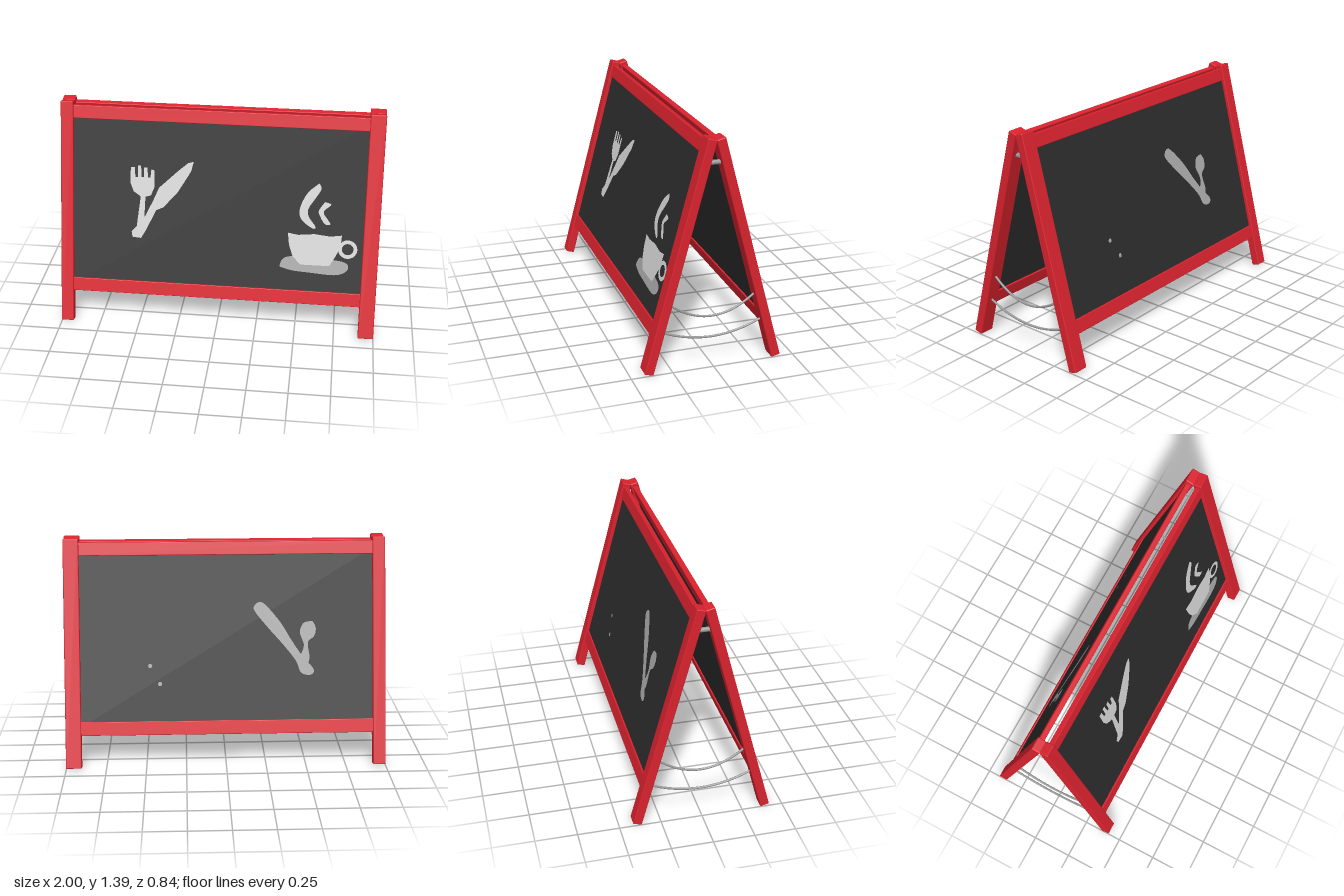
import * as THREE from 'three';
import { RoundedBoxGeometry } from 'three/addons/geometries/RoundedBoxGeometry.js';

const flat = (name, color) => {
  const m = new THREE.MeshStandardMaterial({ color });
  m.name = name;
  return m;
};

const TILT = 0.262, COS = Math.cos(TILT);
const FOOT_Y = 0.0072, FOOT_Z = 0.393, LEG = 1.426;
// height above ground -> distance along the tilted panel
const along = (y) => (y - FOOT_Y) / COS;

// Chalk drawings as outlines of [x, height]
const KNIFE = [[-.165, 1.05], [-.18, .99], [-.26, .86], [-.35, .76], [-.395, .74], [-.46, .61], [-.49, .56],
  [-.545, .565], [-.55, .6], [-.475, .68], [-.415, .8], [-.38, .88], [-.26, .99], [-.2, 1.04]];
const FORK = [[-.56, 1], [-.535, 1], [-.53, .94], [-.515, .94], [-.515, 1.01], [-.495, 1.01], [-.49, .94],
  [-.475, .94], [-.475, 1], [-.455, 1], [-.45, .94], [-.435, .94], [-.43, .99], [-.41, .985], [-.41, .88],
  [-.43, .83], [-.465, .82], [-.47, .7], [-.45, .66], [-.52, .62], [-.51, .7], [-.495, .82], [-.54, .85], [-.56, .9]];
const CUP = [[.435, .645], [.5, .635], [.6, .645], [.7, .635], [.77, .645], [.765, .57], [.73, .5], [.7, .45],
  [.52, .45], [.47, .5], [.445, .57]];
const STEAM_LARGE = [[.615, .957], [.545, .893], [.503, .8], [.513, .733], [.583, .68], [.604, .69], [.56, .75],
  [.556, .8], [.6, .87], [.63, .925]];
const STEAM_SMALL = [[.655, .845], [.695, .83], [.65, .785], [.68, .735], [.695, .71], [.66, .71], [.63, .755], [.62, .79]];
const SAUCER = [[.39, .43], [.41, .48], [.48, .5], [.72, .49], [.81, .47], [.81, .425], [.74, .395], [.58, .402], [.47, .41]];
const BACK_KNIFE = [[-.195, .99], [-.18, .95], [-.26, .85], [-.36, .74], [-.44, .64], [-.47, .57], [-.53, .555],
  [-.55, .59], [-.48, .67], [-.41, .77], [-.34, .88], [-.24, .99]];
const BACK_FORK = [[-.545, .88], [-.49, .87], [-.465, .82], [-.475, .78], [-.49, .73], [-.465, .65], [-.5, .6],
  [-.525, .66], [-.515, .75], [-.555, .79], [-.565, .84]];

export function createModel() {
  const red = flat('red paint', 0xd9222e);
  const slate = flat('blackboard', 0x2c2c2c);
  const chalk = flat('white chalk', 0xd6d6d6);
  const grey = flat('grey chalk', 0xa9a9a9);
  const steel = flat('steel', 0x999999);
  const model = new THREE.Group();
  model.name = 'sandwichBoard';

  const add = (parent, name, geometry, material) => {
    const mesh = new THREE.Mesh(geometry, material);
    mesh.name = name;
    parent.add(mesh);
    return mesh;
  };
  // Box given by its x range and range along the panel
  const bar = (parent, name, x0, x1, s0, s1, depth, material, radius) => {
    const geo = radius
      ? new RoundedBoxGeometry(x1 - x0, s1 - s0, depth, 2, radius)
      : new THREE.BoxGeometry(x1 - x0, s1 - s0, depth);
    add(parent, name, geo, material).position.set((x0 + x1) / 2, (s0 + s1) / 2, 0);
  };
  // Flat chalk drawing lying on the outer face of a panel
  const drawing = (parent, name, points, side, layer, material, smooth) => {
    const pts = points.map(([x, y]) => new THREE.Vector2(x * side, along(y)));
    let shape;
    if (smooth) {
      shape = new THREE.Shape();
      shape.moveTo(pts[0].x, pts[0].y);
      shape.splineThru([...pts.slice(1), pts[0]]);
    } else shape = new THREE.Shape(pts);
    const mesh = add(parent, name, new THREE.ShapeGeometry(shape, 4), material);
    mesh.position.z = side * (0.0075 + layer * 0.0012);
    if (side < 0) mesh.rotation.y = Math.PI;
  };

  // Two tilted panels: front (+1) and back (-1)
  const panels = [1, -1].map((side) => {
    const panel = new THREE.Group();
    panel.name = side > 0 ? 'frontPanel' : 'backPanel';
    panel.position.set(0, FOOT_Y, side * FOOT_Z);
    panel.rotation.x = -side * TILT;
    model.add(panel);
    bar(panel, 'rightLeg', -1, -0.921, 0, LEG, 0.055, red, 0.006);
    bar(panel, 'leftLeg', 0.903, 1, 0, LEG, 0.055, red, 0.006);
    bar(panel, 'topRail', -0.93, 0.91, along(1.283), along(1.362), 0.032, red, 0.004);
    bar(panel, 'bottomRail', -0.93, 0.91, along(0.203), along(0.286), 0.032, red, 0.004);
    bar(panel, 'board', -0.925, 0.908, along(0.25), along(1.32), 0.012, slate);
    return panel;
  });

  // Front drawings: cutlery, cup, saucer and steam
  const [front, back] = panels;
  drawing(front, 'fork', FORK, 1, 0, chalk);
  drawing(front, 'knife', KNIFE, 1, 1, chalk);
  drawing(front, 'saucer', SAUCER, 1, 0, grey, true);
  drawing(front, 'cup', CUP, 1, 1, chalk);
  drawing(front, 'largeSteam', STEAM_LARGE, 1, 0, chalk, true);
  drawing(front, 'smallSteam', STEAM_SMALL, 1, 0, chalk, true);
  const handle = add(front, 'cupHandle', new THREE.RingGeometry(0.036, 0.06, 20), chalk);
  handle.position.set(0.81, along(0.56), 0.0085);

  // Back drawings: worn cutlery and two chalk specks
  drawing(back, 'backFork', BACK_FORK, -1, 0, grey, true);
  drawing(back, 'backKnife', BACK_KNIFE, -1, 1, grey, true);
  for (const [x, y] of [[0.47, 0.62], [0.41, 0.51]]) {
    const speck = add(back, 'chalkSpeck', new THREE.CircleGeometry(0.014, 6), grey);
    speck.position.set(x, along(y), -0.0075);
    speck.rotation.y = Math.PI;
  }

  // Hinge pins and sagging wires between the legs, both ends
  for (const x of [-0.955, 0.955]) {
    const pin = add(model, 'hingePin', new THREE.CylinderGeometry(0.014, 0.014, 0.09, 16), steel);
    pin.rotation.x = Math.PI / 2;
    pin.position.set(x, 1.24, 0);
    for (const [z, top, low] of [[0.268, 0.42, 0.308], [0.312, 0.25, 0.176]]) {
      const points = [];
      for (let i = -4; i <= 4; i++) {
        const t = i / 4;
        points.push(new THREE.Vector3(x, low + (top - low) * t * t, z * t));
      }
      add(model, 'stayWire', new THREE.TubeGeometry(new THREE.CatmullRomCurve3(points), 24, 0.007, 8), steel);
    }
  }
  return model;
}
